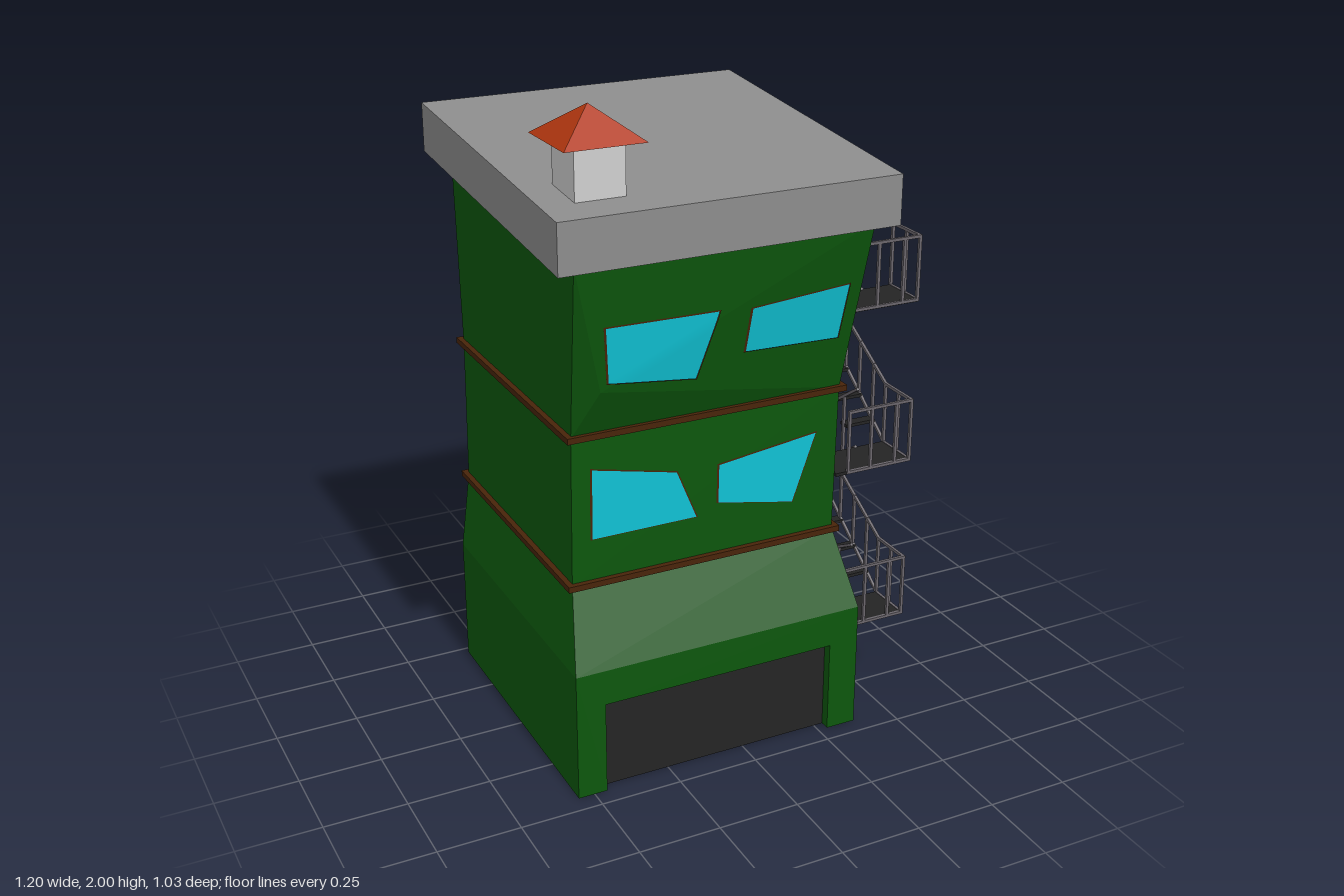
import * as THREE from 'three';

const mat = (name, color, side = THREE.FrontSide) => {
  const m = new THREE.MeshStandardMaterial({ color, side });
  m.name = name;
  return m;
};
const V = (x, y, z) => new THREE.Vector3(x, y, z);

export function createModel() {
  const model = new THREE.Group();
  const green = mat('wallGreen', 0x0d570d, THREE.DoubleSide);
  const grey = mat('roofGrey', 0x8c8c8c);
  const pale = mat('chimneyPale', 0xcfcfcf);
  const red = mat('capRed', 0xb0360f);
  const black = mat('darkMetal', 0x242424);
  const rail = mat('railGrey', 0x6a666c);
  const pipeMat = mat('pipeGrey', 0x363640);
  const brown = mat('frameBrown', 0x482409, THREE.DoubleSide);
  const tan = mat('doorBrown', 0x68430f, THREE.DoubleSide);
  const glass = mat('windowCyan', 0x10c4d6, THREE.DoubleSide);

  const add = (name, geo, material, parent = model) => {
    const m = new THREE.Mesh(geo, material);
    m.name = name;
    parent.add(m);
    return m;
  };
  const group = (name) => {
    const g = new THREE.Group();
    g.name = name;
    model.add(g);
    return g;
  };
  // box given by its limits
  const box = (name, x0, x1, y0, y1, z0, z1, material, parent) => {
    const geo = new THREE.BoxGeometry(x1 - x0, y1 - y0, z1 - z0);
    geo.translate((x0 + x1) / 2, (y0 + y1) / 2, (z0 + z1) / 2);
    return add(name, geo, material, parent);
  };
  // square bar between two points
  const bar = (name, a, b, t, material, parent) => {
    const m = add(name, new THREE.BoxGeometry(t, t, a.distanceTo(b) + t), material, parent);
    m.position.copy(a).add(b).multiplyScalar(0.5);
    m.lookAt(b);
    return m;
  };

  // ---- Walls: rings of left, right, front z, back z, front y, back y
  const levels = [
    [-0.55, 0.375, 0.445, -0.475, 0, 0],
    [-0.55, 0.375, 0.445, -0.475, 0.4, 0.4],
    [-0.51, 0.335, 0.34, -0.5, 0.63, 0.63],
    [-0.51, 0.335, 0.355, -0.485, 1.09, 1.09],
    [-0.54, 0.36, 0.475, -0.43, 1.62, 1.7],
  ];
  const rings = levels.map(([x0, x1, zf, zb, yf, yb]) =>
    [V(x0, yf, zf), V(x1, yf, zf), V(x1, yb, zb), V(x0, yb, zb)]);
  const [A, B] = rings[3], [D, C] = rings[4];
  const P = V(-0.45, 1.24, 0.425); // bulge of the top storey front
  const bulge = [[A, B, P], [B, C, P], [C, D, P], [D, A, P]];
  const tris = [];
  for (let l = 0; l < 4; l++) for (let i = 0; i < 4; i++) {
    if (i === 0 && (l === 0 || l === 3)) continue;
    const j = (i + 1) % 4, lo = rings[l], up = rings[l + 1];
    tris.push(lo[i], lo[j], up[j], lo[i], up[j], up[i]);
  }
  bulge.forEach((t) => tris.push(...t));
  const wallGeo = new THREE.BufferGeometry().setFromPoints(tris);
  wallGeo.computeVertexNormals();
  add('walls', wallGeo, green);

  // ---- Ground floor front with garage opening
  const front = new THREE.Shape([[-0.55, 0], [-0.46, 0], [-0.46, 0.29], [0.28, 0.29],
    [0.28, 0], [0.375, 0], [0.375, 0.4], [-0.55, 0.4]].map((p) => new THREE.Vector2(...p)));
  const frontGeo = new THREE.ExtrudeGeometry(front, { depth: 0.04, bevelEnabled: false });
  add('garageWall', frontGeo.translate(0, 0, 0.405), green);
  box('garageDoor', -0.46, 0.28, 0, 0.29, 0.405, 0.415, black);

  // ---- Trim bands around the storeys
  for (const l of [2, 3]) {
    const g = group('trimBand');
    const c = rings[l].map((p) => V(p.x + Math.sign(p.x) * 0.008, p.y, p.z + Math.sign(p.z) * 0.008));
    c.forEach((p, i) => bar('trim', p, c[(i + 1) % 4], 0.018, brown, g));
  }

  // ---- Sloping roof slab
  const roof = box('roofSlab', -0.6, 0.415, 1.61, 1.755, -0.495, 0.515, grey);
  const rp = roof.geometry.attributes.position;
  for (let i = 0; i < rp.count; i++) if (rp.getZ(i) < 0) rp.setY(i, rp.getY(i) + 0.09);
  roof.geometry.computeVertexNormals();

  // ---- Chimney
  box('chimney', -0.505, -0.36, 1.74, 1.91, 0.262, 0.408, pale);
  const cap = new THREE.ConeGeometry(0.1175 * Math.SQRT2, 0.09, 4, 1).toNonIndexed();
  cap.computeVertexNormals();
  cap.rotateY(Math.PI / 4).translate(-0.432, 1.955, 0.333);
  add('chimneyCap', cap, red);

  // ---- Surface lookups so that plates follow the walls
  const planeZ = ([a, b, c], x, y) => {
    const n = b.clone().sub(a).cross(c.clone().sub(a));
    return a.z - (n.x * (x - a.x) + n.y * (y - a.y)) / n.z;
  };
  const onFront = (x, y, o) => V(x, y, o + (y < 1.09 ? 0.34 + (y - 0.63) * 0.0326
    : Math.min(...bulge.map((t) => planeZ(t, x, y)))));
  const onRight = (z, y, o) => {
    let l = 0;
    while (l < 3 && y > levels[l + 1][4]) l++;
    const [p, q] = [levels[l], levels[l + 1]];
    return V(p[1] + (q[1] - p[1]) * (y - p[4]) / (q[4] - p[4]) + o, y, z);
  };
  // four-cornered plate: top left, top right, bottom right, bottom left
  const plate = (name, q, surf, offset, material, parent) => {
    const n = 8, pts = [], idx = [];
    for (let r = 0; r <= n; r++) for (let c = 0; c <= n; c++) {
      const s = c / n, t = r / n;
      const mix = (k) => (q[0][k] * (1 - s) + q[1][k] * s) * (1 - t) + (q[3][k] * (1 - s) + q[2][k] * s) * t;
      pts.push(surf(mix(0), mix(1), offset));
      if (r < n && c < n) {
        const a = r * (n + 1) + c, d = a + n + 1;
        idx.push(a, d, a + 1, d, d + 1, a + 1);
      }
    }
    const geo = new THREE.BufferGeometry().setFromPoints(pts);
    geo.setIndex(idx);
    geo.computeVertexNormals();
    add(name, geo, material, parent);
  };
  const grow = (q, f) => {
    const c = [0, 1].map((k) => q.reduce((s, p) => s + p[k] / 4, 0));
    return q.map((p) => p.map((v, k) => c[k] + (v - c[k]) * f));
  };

  // ---- Crooked windows
  const windows = [
    [onFront, [[-0.445, 1.43], [-0.11, 1.425], [-0.16, 1.225], [-0.43, 1.265]]],
    [onFront, [[-0.005, 1.415], [0.305, 1.435], [0.295, 1.265], [-0.01, 1.28]]],
    [onFront, [[-0.45, 0.985], [-0.19, 0.925], [-0.125, 0.77], [-0.45, 0.77]]],
    [onFront, [[-0.055, 0.92], [0.26, 0.96], [0.19, 0.75], [-0.055, 0.8]]],
    [onRight, [[-0.14, 1.42], [-0.378, 1.42], [-0.395, 1.23], [-0.14, 1.265]]],
    [onRight, [[-0.28, 0.99], [-0.43, 1.005], [-0.43, 0.855], [-0.27, 0.875]]],
  ];
  for (const [surf, q] of windows) {
    const g = group('window');
    plate('windowFrame', grow(q, 1.035), surf, 0.003, brown, g);
    plate('windowPane', q, surf, 0.006, glass, g);
  }

  // ---- Side doors with two tapering panels
  for (const [z0, z1, y0, y1] of [[0.355, 0.205, 0.285, 0.54], [0.335, 0.215, 0.77, 1.05], [0.355, 0.207, 1.32, 1.605]]) {
    const g = group('sideDoor');
    const at = (u, v) => [z0 + (z1 - z0) * u, y0 + (y1 - y0) * v];
    plate('doorFrame', [at(0, 1), at(1, 1), at(1, 0), at(0, 0)], onRight, 0.003, brown, g);
    plate('upperPanel', [at(0.08, 0.96), at(0.92, 0.96), at(0.76, 0.56), at(0.24, 0.56)], onRight, 0.006, tan, g);
    plate('lowerPanel', [at(0.24, 0.5), at(0.76, 0.5), at(0.9, 0.06), at(0.1, 0.06)], onRight, 0.006, tan, g);
  }

  // ---- Drain pipe
  const path = new THREE.CatmullRomCurve3([[0.33, 1.24], [0.365, 1.2], [0.385, 1.1], [0.388, 0.9],
    [0.385, 0.64], [0.37, 0.57], [0.34, 0.53]].map(([x, y]) => V(x, y, -0.443)));
  add('drainPipe', new THREE.TubeGeometry(path, 32, 0.014, 8), pipeMat);

  // ---- Fire escape
  const stairs = group('fireEscape');
  const T = 0.009, H = 0.19, xo = 0.592, xm = 0.49, zf = 0.352, zn = 0.21, zm = -0.17, zb = -0.265;
  const rod = (a, b) => bar('railing', V(...a), V(...b), T, rail, stairs);
  const post = (x, y, z, h = H) => rod([x, y, z], [x, y + h, z]);
  const flight = (x0, x1, yMid, yNear, yRailEnd, zRailEnd) => {
    const yAt = (z) => yMid + (yNear - yMid) * (z - zm) / (zn - zm);
    const railAt = (z) => yNear + H + (yRailEnd - yNear - H) * (z - zn) / (zRailEnd - zn);
    for (const z of [-0.105, -0.022, 0.06, 0.14]) {
      box('tread', x0, x1, yAt(z) - 0.006, yAt(z) + 0.004, z - 0.017, z + 0.017, black, stairs);
      post(x1, yAt(z), z, railAt(z) - yAt(z));
    }
    rod([x1, yNear, zn], [x1, yMid + 0.01, zm]);
    rod([x1, yNear + H, zn], [x1, yRailEnd, zRailEnd]);
    post(x1, yMid, zm, railAt(zm) - yMid);
  };
  const near = [0.285, 0.81, 1.32], mid = [0.058, 0.54, 1.075];
  near.forEach((y, i) => {
    const xi = i ? 0.338 : 0.375;
    // door landing with railing on its front and outer sides
    box('doorLanding', xi, xo, y - 0.01, y, zn, zf, black, stairs);
    for (const h of [-0.003, H]) {
      rod([0.378, y + h, zf], [xo, y + h, zf]);
      rod([xo, y + h, zf], [xo, y + h, zn]);
    }
    for (const x of [0.378, 0.455, 0.54, xo]) post(x, y, zf);
    for (const z of [0.283, zn]) post(xo, y, z);
    // turning landing below it, the lowest being a plain step
    box('turnLanding', i ? 0.338 : 0.375, i ? xo : xm, mid[i] - 0.01, mid[i], zb, zm, black, stairs);
    flight(0.375, xm, mid[i], y, mid[i] + 0.21, zm);
    if (i) {
      const top = mid[i] + 0.2;
      flight(xm, xo, mid[i], near[i - 1], top, zb);
      rod([0.342, top, zb], [xo, top, zb]);
      rod([0.342, mid[i], zb], [xo, mid[i], zb]);
      for (const x of [0.342, 0.42, xm, xo]) post(x, mid[i], zb, 0.2);
    }
  });
  return model;
}
